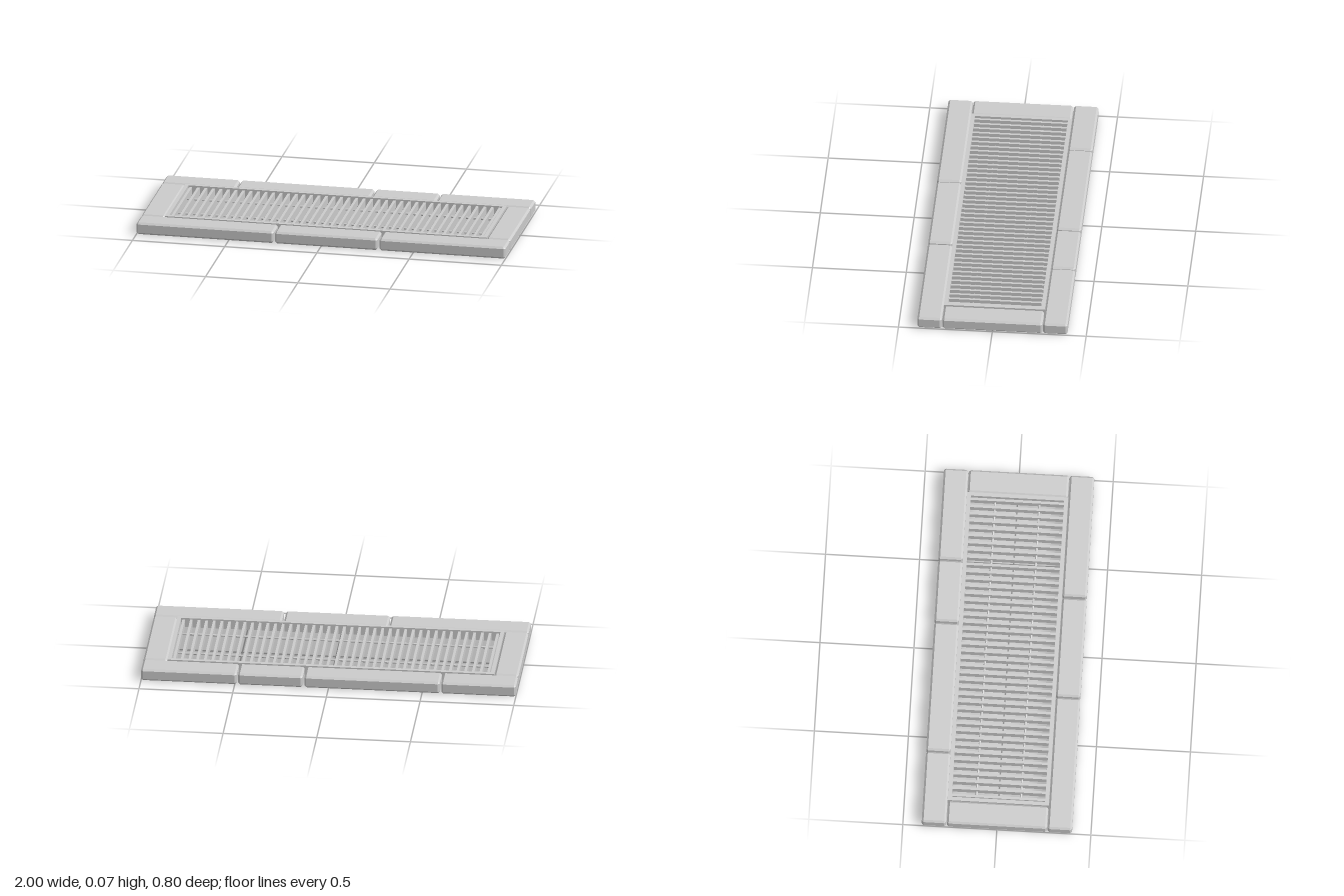
import * as THREE from 'three';
import { ConvexGeometry } from 'three/addons/geometries/ConvexGeometry.js';

const material = new THREE.MeshStandardMaterial({ color: 0xcccccc, flatShading: true });

// Box between two corners with every edge cut by a single chamfer c
function chamferBox([x0, y0, z0], [x1, y1, z1], c) {
  const size = [(x1 - x0) / 2, (y1 - y0) / 2, (z1 - z0) / 2];
  const points = [];
  for (const sx of [-1, 1]) for (const sy of [-1, 1]) for (const sz of [-1, 1]) {
    for (let axis = 0; axis < 3; axis++) {
      const inset = size.map((s, i) => (i === axis ? s : s - c));
      points.push(new THREE.Vector3(sx * inset[0], sy * inset[1], sz * inset[2]));
    }
  }
  const geometry = new ConvexGeometry(points);
  geometry.translate((x0 + x1) / 2, (y0 + y1) / 2, (z0 + z1) / 2);
  return geometry;
}

function add(group, name, geometry) {
  const mesh = new THREE.Mesh(geometry, material);
  mesh.name = name;
  group.add(mesh);
  return mesh;
}

function addBox(group, name, w, h, d, x, y, z) {
  add(group, name, new THREE.BoxGeometry(w, h, d)).position.set(x, y, z);
}

export function createModel() {
  const model = new THREE.Group();
  model.name = 'stoneFramedGrate';

  // Stone border: rows of uneven blocks at front and back, one block per end
  const stones = new THREE.Group();
  stones.name = 'stoneBorder';
  model.add(stones);
  const top = 0.066, chamfer = 0.01;
  const rows = {
    frontStone: { z: [0.27, 0.4], spans: [[-1, -0.257], [-0.249, 0.306], [0.318, 1]] },
    backStone: { z: [-0.4, -0.27], spans: [[-1, -0.602], [-0.594, 0.128], [0.138, 0.482], [0.49, 1]] },
    endStone: { z: [-0.266, 0.266], spans: [[-1, -0.873], [0.873, 1]] },
  };
  for (const [name, { z, spans }] of Object.entries(rows)) {
    for (const [a, b] of spans) {
      add(stones, name, chamferBox([a, 0, z[0]], [b, top, z[1]], chamfer));
    }
  }

  // Metal grate
  const grate = new THREE.Group();
  grate.name = 'grate';
  model.add(grate);

  // Rim around the bars
  const rimH = 0.053, rimY = 0.0415;
  for (const s of [-1, 1]) {
    addBox(grate, 'rimLong', 1.744, rimH, 0.021, 0, rimY, s * 0.2585);
    addBox(grate, 'rimShort', 0.02, rimH, 0.496, s * 0.862, rimY, 0);
  }

  // Upright slats
  const count = 42, reach = 0.838;
  for (let i = 0; i < count; i++) {
    const x = -reach + (2 * reach * i) / (count - 1);
    addBox(grate, 'slat', 0.014, 0.042, 0.498, x, 0.039, 0);
  }

  // Two rods threaded through the slats
  for (const s of [-1, 1]) {
    const rod = add(grate, 'crossRod', new THREE.CylinderGeometry(0.006, 0.006, 1.71, 8));
    rod.rotation.z = Math.PI / 2;
    rod.position.set(0, 0.037, s * 0.118);
  }
  return model;
}
